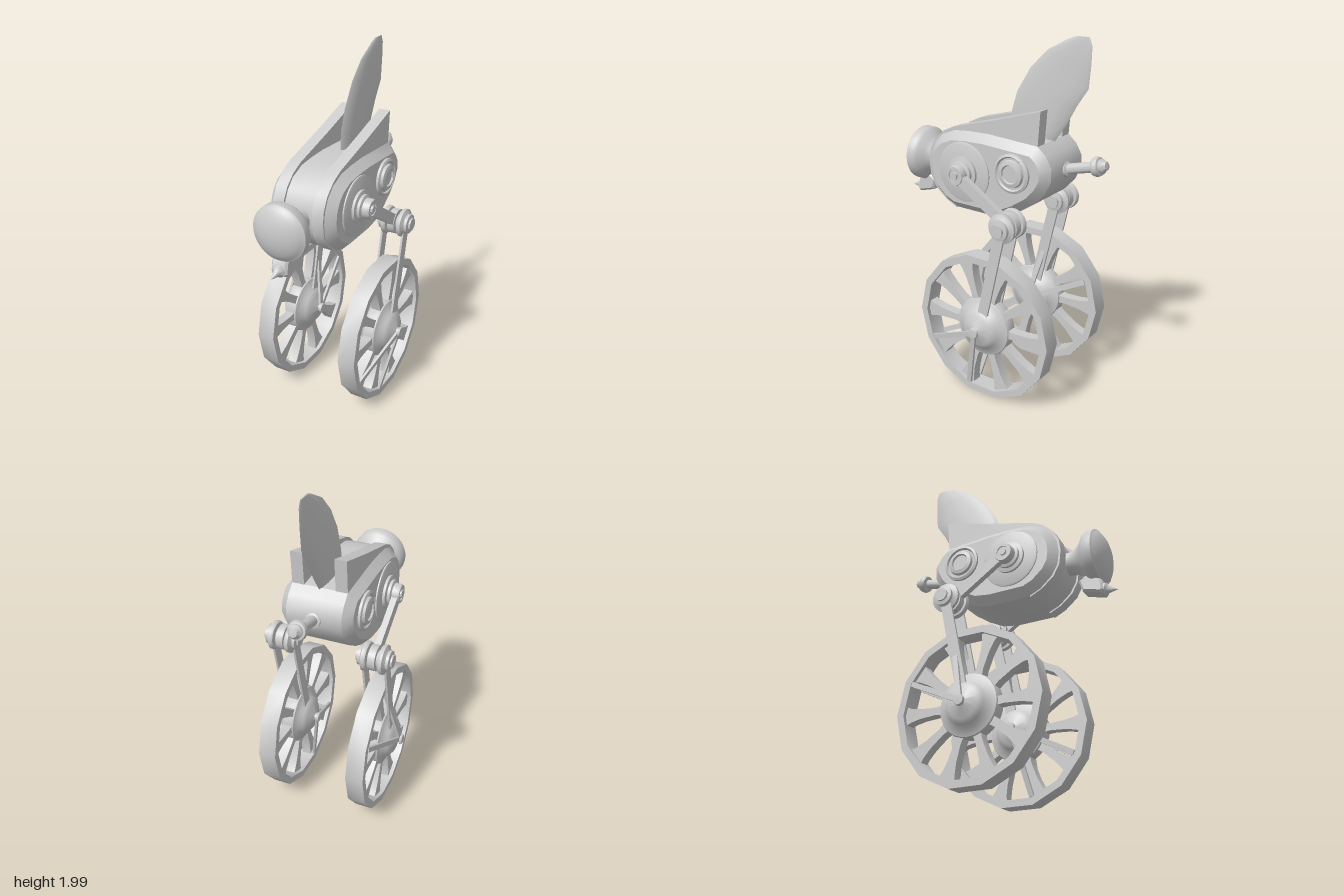
import * as THREE from 'three';
import { toCreasedNormals } from 'three/addons/utils/BufferGeometryUtils.js';

const grey = new THREE.MeshStandardMaterial({ color: 0xcccccc });

function part(parent, name, geo, x = 0, y = 0, z = 0) {
  const mesh = new THREE.Mesh(toCreasedNormals(geo, 0.6), grey);
  mesh.name = name;
  mesh.position.set(x, y, z);
  parent.add(mesh);
  return mesh;
}

// Turned profile of [radius, distance along axis] pairs; axis 'x' or 'z'
function turned(profile, axis, sides = 32) {
  const geo = new THREE.LatheGeometry(profile.map(([r, d]) => new THREE.Vector2(r, d)), sides);
  return axis === 'x' ? geo.rotateZ(-Math.PI / 2) : geo.rotateX(Math.PI / 2);
}

// Half profile running outwards, completed by its mirror image
const symmetric = half => [...half.map(([r, d]) => [r, -d]).reverse(), ...half];

// Side silhouette of [z, y] points, thickened along x and centred on x = 0
function slab(points, width, bevel = 0) {
  const shape = new THREE.Shape(points.map(([z, y]) => new THREE.Vector2(z, y)));
  return new THREE.ExtrudeGeometry(shape, {
    depth: width, bevelEnabled: bevel > 0, bevelSize: bevel, bevelThickness: bevel,
    bevelOffset: -bevel, bevelSegments: 1,
  }).translate(0, 0, -width / 2).rotateY(-Math.PI / 2);
}

// Flat bar between two points, thin along x
function bar(parent, name, from, to, width, thick) {
  const a = new THREE.Vector3(...from), b = new THREE.Vector3(...to);
  const mesh = part(parent, name, new THREE.BoxGeometry(width, thick, a.distanceTo(b)));
  mesh.up.set(1, 0, 0);
  mesh.lookAt(b.clone().sub(a));
  mesh.position.copy(a).add(b).multiplyScalar(0.5);
}

function buildWheel() {
  const wheel = new THREE.Group();
  wheel.name = 'wheel';
  part(wheel, 'rim', turned([[0.385, -0.05], [0.425, -0.05], [0.425, 0.05], [0.385, 0.05], [0.385, -0.05]], 'x', 14));
  part(wheel, 'wheelHub', turned(symmetric([
    [0.17, 0.025], [0.165, 0.035], [0.125, 0.05], [0.11, 0.07], [0.085, 0.088], [0.03, 0.1],
    [0.022, 0.105], [0.022, 0.115], [0.03, 0.118], [0.026, 0.13], [0, 0.132],
  ]), 'x', 28));
  // Spokes narrow in the middle and flare into the rim
  const half = [[0.13, 0.028], [0.2, 0.02], [0.29, 0.026], [0.35, 0.038], [0.39, 0.055]];
  const outline = [...half.map(([r, w]) => [r, -w]), ...half.slice().reverse()];
  for (let i = 0; i < 10; i++) {
    part(wheel, 'spoke', slab(outline, 0.055)).rotation.x = (i * Math.PI) / 5;
  }
  // Slanted stay rods from both axle tips to the rim
  for (const s of [-1, 1]) {
    bar(wheel, 'stayRod', [s * 0.115, 0, 0], [s * 0.045, -0.165, 0.34], 0.028, 0.014);
    bar(wheel, 'stayRod', [s * 0.115, 0, 0], [s * 0.045, -0.37, 0.09], 0.028, 0.014);
  }
  return wheel;
}

function buildLeg(isRight) {
  const leg = new THREE.Group();
  leg.name = isRight ? 'rightLeg' : 'leftLeg';
  // Hip joint and rear boss on the flank
  part(leg, 'hipPlate', turned([[0, 0.18], [0.165, 0.18], [0.165, 0.202], [0.155, 0.206], [0, 0.206]], 'x'), 0, 1.26, 0.105);
  part(leg, 'hipJoint', turned([
    [0.085, 0.19], [0.09, 0.2], [0.09, 0.22], [0.07, 0.225], [0.07, 0.24], [0.055, 0.245], [0.055, 0.27],
    [0.05, 0.285], [0.035, 0.285], [0.035, 0.278], [0.02, 0.278], [0.02, 0.29], [0, 0.29],
  ], 'x'), 0, 1.26, 0.105);
  part(leg, 'rearBoss', turned([
    [0.105, 0.18], [0.105, 0.208], [0.092, 0.214], [0.085, 0.205], [0.075, 0.205],
    [0.07, 0.22], [0.05, 0.225], [0.045, 0.215], [0, 0.215],
  ], 'x'), 0, 1.31, -0.205);

  bar(leg, 'thigh', [0.262, 1.26, 0.105], [0.262, 1.05, -0.225], 0.062, 0.034);
  part(leg, 'kneeJoint', turned(symmetric([
    [0.045, 0.02], [0.05, 0.03], [0.075, 0.034], [0.08, 0.042], [0.08, 0.058], [0.065, 0.064],
    [0.055, 0.07], [0.055, 0.086], [0.035, 0.09], [0.035, 0.1], [0, 0.1],
  ]), 'x'), 0.265, 1.05, -0.225);
  part(leg, 'kneeKnuckle', turned([[0, -0.02], [0.07, -0.02], [0.07, 0.02], [0, 0.02]], 'x'), 0.262, 1.05, -0.225);
  for (const x of [0.2, 0.326]) {
    bar(leg, 'forkArm', [x, 1.05, -0.225], [x, 0.43, -0.085], 0.062, 0.012);
  }

  const wheel = buildWheel();
  wheel.position.set(0.26, 0.427, -0.082);
  if (isRight) {
    wheel.rotation.x = Math.PI;
    leg.scale.x = -1;
  }
  leg.add(wheel);
  return leg;
}

// Lens-shaped blade: each row is front z, y, back z, y, half thickness
function bladeGeometry() {
  const rows = [
    [-0.06, 1.42, -0.31, 1.42, 0.024], [-0.06, 1.56, -0.4, 1.55, 0.025], [-0.1, 1.69, -0.46, 1.66, 0.023],
    [-0.18, 1.82, -0.52, 1.75, 0.018], [-0.28, 1.92, -0.53, 1.87, 0.013], [-0.4, 1.985, -0.532, 1.96, 0.008],
    [-0.44, 2.0, -0.515, 2.0, 0.004],
  ];
  const geo = new THREE.CylinderGeometry(1, 1, rows.length - 1, 12, rows.length - 1);
  const pos = geo.attributes.position;
  for (let i = 0; i < pos.count; i++) {
    const [z0, y0, z1, y1, t] = rows[Math.round(pos.getY(i) + (rows.length - 1) / 2)];
    const k = (1 - pos.getZ(i)) / 2;
    pos.setXYZ(i, pos.getX(i) * t, y0 + (y1 - y0) * k, z0 + (z1 - z0) * k);
  }
  geo.computeVertexNormals();
  return geo;
}

export function createModel() {
  const model = new THREE.Group();

  // Body shell with chamfered flanks
  part(model, 'body', slab([
    [0.375, 1.25], [0.365, 1.32], [0.335, 1.38], [0.285, 1.43], [0.2, 1.465], [0.1, 1.475], [-0.02, 1.478],
    [-0.325, 1.462], [-0.375, 1.42], [-0.41, 1.36], [-0.41, 1.29], [-0.375, 1.22], [-0.31, 1.15],
    [-0.22, 1.09], [-0.13, 1.045], [-0.03, 1.03], [0.19, 1.03], [0.26, 1.06], [0.33, 1.12], [0.365, 1.18],
  ], 0.3, 0.045));

  // Twin fins hugging the front and rising to the back
  for (const s of [-1, 1]) {
    part(model, 'fin', slab([
      [0.386, 1.26], [0.376, 1.33], [0.34, 1.395], [0.28, 1.45], [0.21, 1.483], [-0.07, 1.56], [-0.34, 1.642],
      [-0.325, 1.44], [0.1, 1.4], [0.28, 1.25], [0.2, 1.08], [0.2, 1.025], [0.27, 1.058], [0.34, 1.115], [0.376, 1.18],
    ], 0.065), s * 0.1175);
  }
  part(model, 'wing', bladeGeometry());

  // Flared head on a waisted neck
  part(model, 'head', turned([
    [0.065, 0.33], [0.065, 0.385], [0.068, 0.41], [0.085, 0.44], [0.11, 0.468], [0.14, 0.49], [0.153, 0.51], [0.153, 0.555],
    [0.143, 0.56], [0.135, 0.568], [0.11, 0.583], [0.07, 0.597], [0.035, 0.603], [0, 0.605],
  ], 'z', 40), 0, 1.248, 0);
  part(model, 'chin', slab([
    [0.53, 1.13], [0.565, 1.09], [0.575, 1.03], [0.56, 1.015], [0.455, 1.045], [0.435, 1.11], [0.5, 1.15],
  ], 0.07, 0.012));
  part(model, 'beak', turned([[0, 0], [0.036, 0], [0.036, 0.02], [0.022, 0.03], [0.014, 0.05], [0, 0.09]], 'z', 20), 0, 1.048, 0.556)
    .rotation.x = 0.2;

  // Tail pipe with a ribbed knob, tilted slightly upwards
  const tail = part(model, 'tail', turned([
    [0.04, -0.03], [0.04, 0.015], [0.028, 0.02], [0.028, 0.165], [0.046, 0.17], [0.052, 0.185], [0.048, 0.205],
    [0.036, 0.208], [0.038, 0.22], [0.026, 0.234], [0.022, 0.244], [0, 0.247],
  ], 'z', 20), 0, 1.32, -0.405);
  tail.rotation.set(-0.25, Math.PI, 0, 'YXZ');

  model.add(buildLeg(false), buildLeg(true));
  return model;
}
